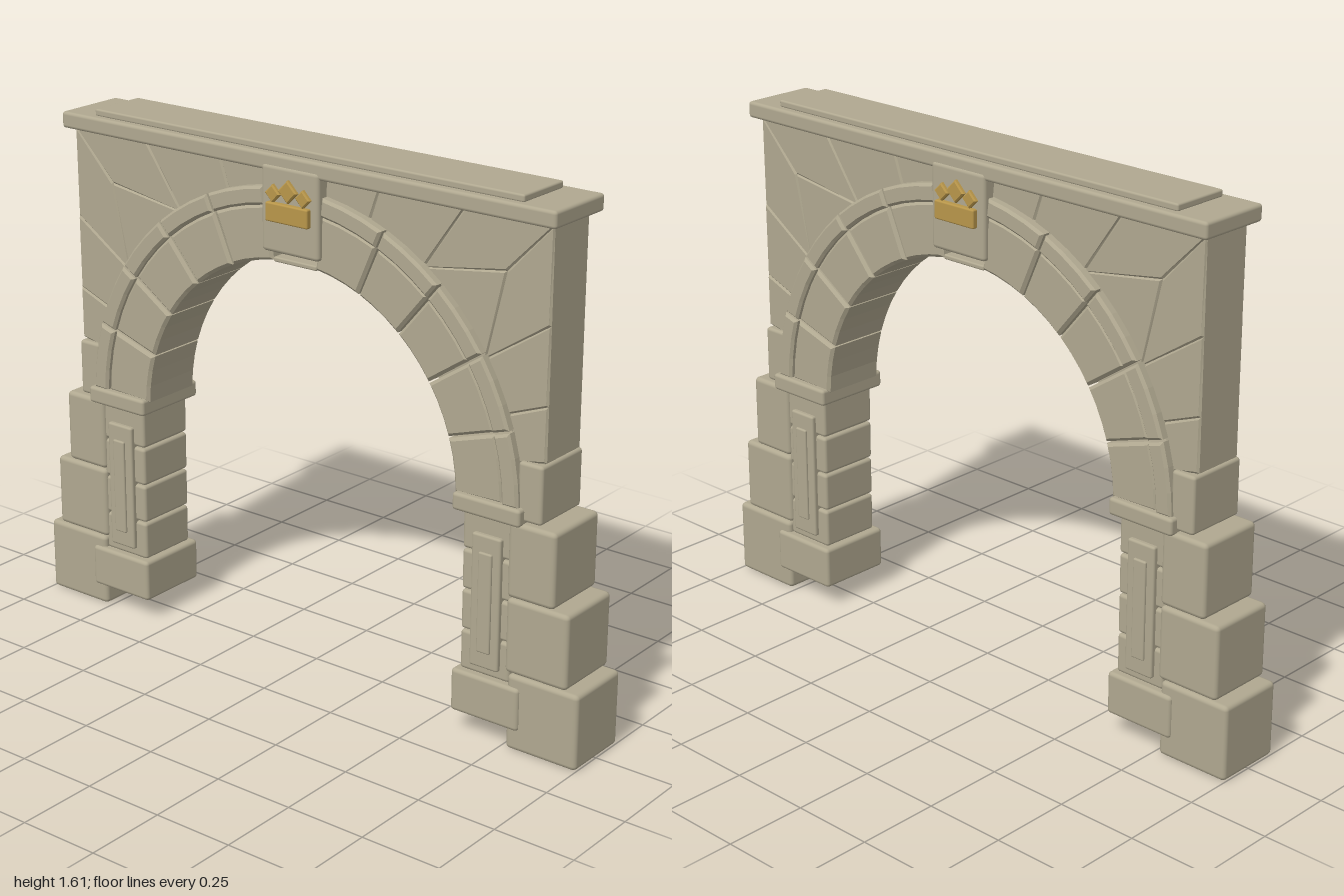
import * as THREE from 'three';
import { RoundedBoxGeometry } from 'three/addons/geometries/RoundedBoxGeometry.js';

export function createModel() {
  const model = new THREE.Group();
  model.name = 'stoneArchway';
  const stone = new THREE.MeshStandardMaterial({ color: 0xb0a890 });
  stone.name = 'stone';
  const gold = new THREE.MeshStandardMaterial({ color: 0xb8964a });
  gold.name = 'gold';

  const CY = 0.71;      // springing height of the arch
  const HALF = 0.855;   // half width of the wall
  const TOP = 1.54;     // top of the wall
  const rad = THREE.MathUtils.degToRad;

  function add(name, geometry, material = stone) {
    const mesh = new THREE.Mesh(geometry, material);
    mesh.name = name;
    model.add(mesh);
    return mesh;
  }

  // Softened block given by its x and y limits and half depth
  function block(name, x0, x1, y0, y1, zh, r = 0.01, material = stone) {
    const g = new RoundedBoxGeometry(x1 - x0, y1 - y0, zh * 2, 2, r);
    g.translate((x0 + x1) / 2, (y0 + y1) / 2, 0);
    return add(name, g, material);
  }

  // Bevelled stone cut to an outline, centred on z = 0
  function cut(name, points, zh, b = 0.007, material = stone) {
    const shape = new THREE.Shape(points.map(([x, y]) => new THREE.Vector2(x, y)));
    const g = new THREE.ExtrudeGeometry(shape, {
      depth: 2 * (zh - b), bevelEnabled: b > 0, bevelThickness: b,
      bevelSize: b, bevelOffset: -b, bevelSegments: 1,
    });
    g.translate(0, 0, b - zh);
    return add(name, g, material);
  }

  const polar = (r, deg) => [r * Math.cos(rad(deg)), CY + r * Math.sin(rad(deg))];
  const arc = (r, a0, a1, n = 4) =>
    Array.from({ length: n + 1 }, (_, i) => polar(r, a0 + ((a1 - a0) * i) / n));
  const ringPiece = (r0, r1, a0, a1, n) => [...arc(r0, a0, a1, n), ...arc(r1, a1, a0, n)];
  // Where a ray from the arch centre meets the wall edge
  const edge = (deg) => {
    const c = Math.cos(rad(deg)), s = Math.sin(rad(deg));
    return polar(Math.min(HALF / c, (TOP - CY) / s), deg);
  };

  for (const s of [1, -1]) {
    const side = s > 0 ? 'left' : 'right';
    const sideBlock = (name, x0, x1, ...rest) =>
      block(side + name, s > 0 ? x0 : -x1, s > 0 ? x1 : -x0, ...rest);
    const sideCut = (name, pts, ...rest) =>
      cut(side + name, pts.map(([x, y]) => [s * x, y]), ...rest);

    // Stepped buttress
    sideBlock('ButtressBottom', 0.765, 1.0, 0, 0.232, 0.11, 0.014);
    sideBlock('ButtressMiddle', 0.755, 0.96, 0.235, 0.462, 0.11, 0.014);
    sideBlock('ButtressTop', 0.755, 0.91, 0.465, 0.692, 0.11, 0.014);
    sideBlock('ButtressCap', 0.775, HALF, 0.697, 0.87, 0.1);

    // Pier with plinth, panel and impost
    sideBlock('Plinth', 0.58, 0.81, 0.065, 0.197, 0.12, 0.012);
    for (let i = 0; i < 4; i++) {
      const y = 0.197 + i * 0.124;
      sideBlock('PierStone', 0.598, 0.765, y, y + 0.12, 0.1, 0.01);
    }
    sideBlock('PierCore', 0.61, 0.77, 0.15, 0.69, 0.085, 0.004);
    sideBlock('PierPanel', 0.638, 0.735, 0.225, 0.63, 0.114, 0.007);
    sideBlock('PierPanelStrip', 0.665, 0.71, 0.275, 0.58, 0.121, 0.005);
    sideBlock('Impost', 0.575, 0.8, 0.685, 0.737, 0.125, 0.01);

    // Arch stones and the moulding around them
    const step = 16.2;
    for (let i = 0; i < 5; i++) {
      const a = 1.5 + i * step;
      sideCut('Voussoir', ringPiece(0.57, 0.732, a + 0.25, a + step - 0.25, 3), 0.106, 0.009);
      sideCut('ArchMoulding', ringPiece(0.732, 0.787, a + 0.25, a + step - 0.25, 3), 0.115, 0.008);
    }

    // Spandrel stones
    const R = 0.775;
    const node = [0.71, 1.39];
    const corner = [HALF, TOP];
    for (const [a0, a1] of [[11, 21], [21, 33], [55.5, 71], [71, 83]]) {
      sideCut('SpandrelStone', [...arc(R, a1, a0), edge(a0), edge(a1)], 0.086, 0.006);
    }
    sideCut('SpandrelInnerStone', [...arc(R, 55.5, 33), node], 0.086, 0.006);
    sideCut('SpandrelSideStone', [polar(R, 33), edge(33), corner, node], 0.086, 0.006);
    sideCut('SpandrelTopStone', [polar(R, 55.5), node, corner, edge(55.5)], 0.086, 0.006);
  }

  // Recessed core that closes the joints
  cut('wallCore', [
    ...arc(0.59, 2, 178, 40),
    [-0.845, 0.735], [-0.845, TOP], [0.845, TOP], [0.845, 0.735],
  ], 0.076, 0);

  // Keystone and the thin stone below it
  block('keystone', -0.103, 0.103, 1.305, 1.56, 0.123, 0.012);
  block('keystoneSoffit', -0.078, 0.078, 1.27, 1.285, 0.1, 0.005);

  // Cornice
  block('cornice', -0.88, 0.88, 1.54, 1.59, 0.118, 0.01);
  block('corniceSlab', -0.765, 0.765, 1.588, 1.61, 0.094, 0.006);

  // Crown ornament, showing on both faces of the keystone
  block('crownBand', -0.076, 0.076, 1.4, 1.456, 0.139, 0.005, gold);
  for (const [x, y, r] of [[-0.054, 1.481, 0.027], [0, 1.493, 0.034], [0.054, 1.481, 0.027]]) {
    cut('crownPoint', [[x + r, y], [x, y + r], [x - r, y], [x, y - r]], 0.135, 0.004, gold);
  }

  return model;
}
